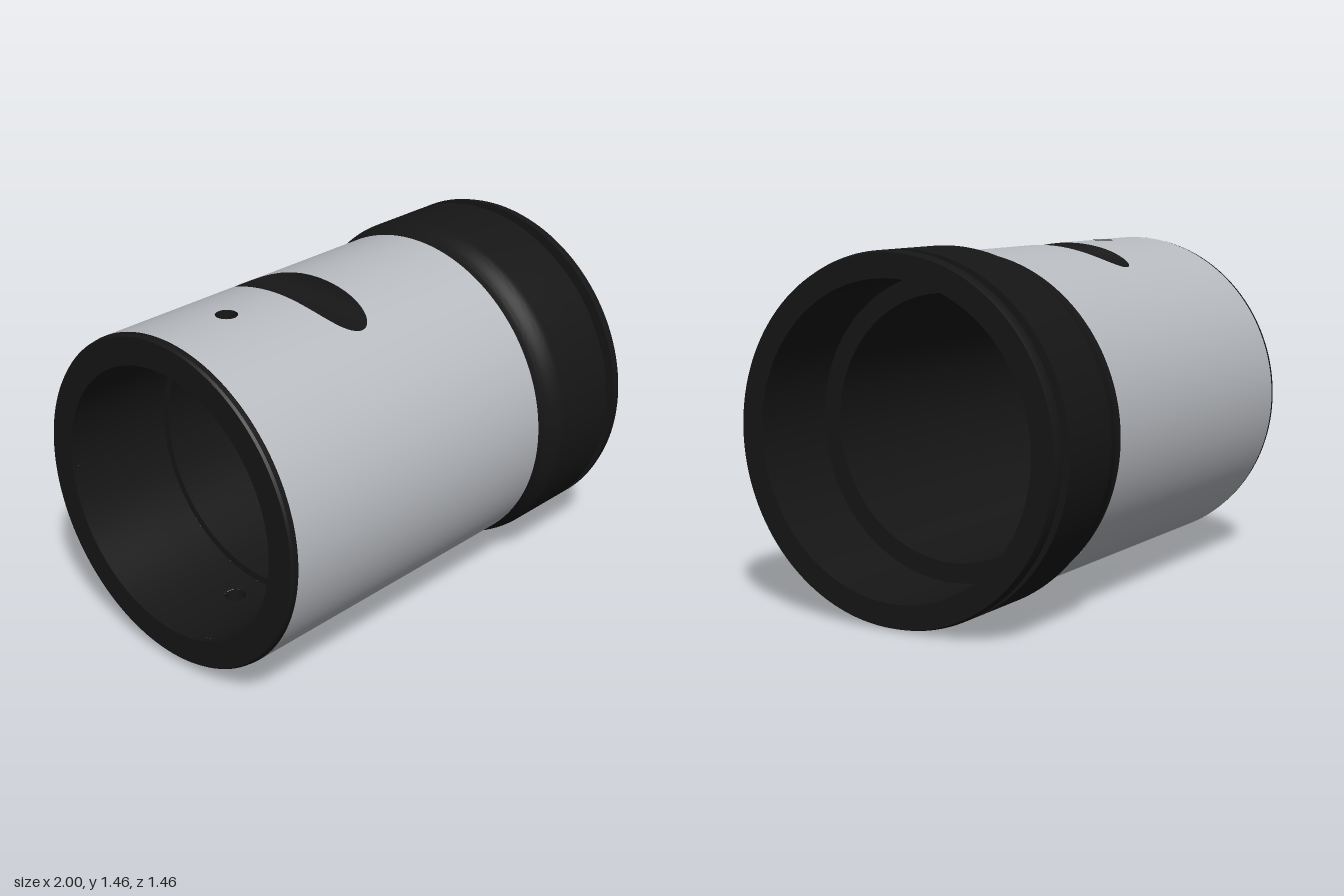
import * as THREE from 'three';
import { toCreasedNormals } from 'three/addons/utils/BufferGeometryUtils.js';

const R = 0.70;                              // sleeve radius
const BORE = 0.575;                          // bore radius at the left end
const HOLE = { x: -0.645, r: 0.045 };        // round cross-hole, top and bottom
const SLOT = { x: -0.245, y: 0.73, r: 0.12 };// cross-cut cylinder that makes the saddle notch
const SLOT_W = Math.sqrt(SLOT.r ** 2 - (SLOT.y - R) ** 2);

const dark = new THREE.MeshStandardMaterial({ color: 0x161616, side: THREE.DoubleSide });
const metal = new THREE.MeshStandardMaterial({ color: 0xb9bcc1, side: THREE.DoubleSide });

const slotFloor = (x) => SLOT.y - Math.sqrt(Math.max(0, SLOT.r ** 2 - (x - SLOT.x) ** 2));

// Half-angle left open at the top and at the bottom of a shell at station x
function holeGap(x, radius) {
  const d = HOLE.r ** 2 - (x - HOLE.x) ** 2;
  return d > 0 ? Math.asin(Math.sqrt(d) / radius) : 0;
}
function slotGap(x) {
  return Math.abs(x - SLOT.x) < SLOT_W ? Math.acos(Math.min(1, slotFloor(x) / R)) : 0;
}

// Stations packed towards both ends of an opening
function stations(centre, half, n) {
  return Array.from({ length: n + 1 }, (_, i) => centre - half * Math.cos((Math.PI * i) / n));
}

// Surface lofted through the stations; point(x, v) gives [x, y, z] for v in 0..1
function loft(xs, cols, point, flip = false) {
  const pos = [], idx = [];
  xs.forEach((x, i) => {
    for (let j = 0; j <= cols; j++) {
      pos.push(...point(x, j / cols));
      if (i === xs.length - 1 || j === cols) continue;
      const a = i * (cols + 1) + j, b = a + cols + 1, c = a + 1, d = b + 1;
      if (flip) idx.push(a, b, c, c, b, d);
      else idx.push(a, c, b, c, d, b);
    }
  });
  const g = new THREE.BufferGeometry();
  g.setAttribute('position', new THREE.Float32BufferAttribute(pos, 3));
  g.setIndex(idx);
  g.computeVertexNormals();
  return g;
}

// Pierced tube along x, made as a front and a back half
function shell(name, xs, radius, top, bottom, material, inward) {
  const group = new THREE.Group();
  group.name = name;
  for (const front of [true, false]) {
    const g = loft(xs, 96, (x, v) => {
      const t0 = front ? top(x) : Math.PI + bottom(x);
      const t1 = front ? Math.PI - bottom(x) : 2 * Math.PI - top(x);
      const t = t0 + (t1 - t0) * v;
      return [x, radius * Math.cos(t), radius * Math.sin(t)];
    }, inward);
    // exact radial normals keep the tube smooth
    const p = g.attributes.position, k = (inward ? -1 : 1) / radius;
    for (let i = 0; i < p.count; i++) g.attributes.normal.setXYZ(i, 0, p.getY(i) * k, p.getZ(i) * k);
    const mesh = new THREE.Mesh(g, material);
    mesh.name = name + (front ? 'Front' : 'Back');
    group.add(mesh);
  }
  return group;
}

// Turned part about the x axis from [radius, x] pairs
function turned(name, profile) {
  const pts = profile.map(([r, x]) => new THREE.Vector2(r, x));
  const mesh = new THREE.Mesh(toCreasedNormals(new THREE.LatheGeometry(pts, 160), 0.4), dark);
  mesh.rotation.z = -Math.PI / 2;
  mesh.name = name;
  return mesh;
}

export function createModel() {
  const model = new THREE.Group();
  model.name = 'sleeveBody';
  const body = new THREE.Group();
  body.name = 'barrel';
  body.position.y = 0.73;
  model.add(body);

  // Metal sleeve with slot and cross-holes
  const holeXs = stations(HOLE.x, HOLE.r, 16);
  const slotXs = stations(SLOT.x, SLOT_W, 32);
  body.add(shell('sleeve', [-0.97, ...holeXs, ...slotXs, 0.46], R,
    (x) => holeGap(x, R) + slotGap(x), (x) => holeGap(x, R), metal, false));

  // Floor of the saddle notch
  const floor = new THREE.Mesh(loft(slotXs, 2, (x, v) => {
    const y = slotFloor(x);
    return [x, y, (2 * v - 1) * Math.sqrt(Math.max(0, R * R - y * y))];
  }), dark);
  floor.name = 'notchFloor';
  body.add(floor);

  // Left bore, pierced by the cross-holes
  const gap = (x) => holeGap(x, BORE);
  body.add(shell('leftBore', [-0.97, ...holeXs, -0.5], BORE, gap, gap, dark, true));

  // Walls of the cross-holes
  for (const s of [1, -1]) {
    const wall = new THREE.Mesh(
      new THREE.CylinderGeometry(HOLE.r, HOLE.r, R - BORE, 32, 1, true), dark);
    wall.position.set(HOLE.x, (s * (R + BORE)) / 2, 0);
    wall.name = s > 0 ? 'topHoleWall' : 'bottomHoleWall';
    body.add(wall);
  }

  // Left end ring
  body.add(turned('endRing', [
    [BORE, -0.97], [BORE, -1], [0.69, -1], [0.697, -0.99], [0.697, -0.97], [R, -0.97],
  ]));

  // Collar with flared shoulder, ring groove, end flange and stepped bore
  const flare = Array.from({ length: 13 }, (_, i) => {
    const u = i / 12;
    return [0.697 + 0.033 * u * u * (3 - 2 * u), 0.48 + 0.12 * u];
  });
  body.add(turned('collar', [
    [R, 0.46], [0.697, 0.46], ...flare,
    [0.73, 0.9], [0.682, 0.9], [0.682, 0.955], [0.73, 0.955], [0.73, 0.975], [0.722, 1],
    [0.625, 1], [0.625, 0.6], [0.543, 0.6], [0.543, -0.5], [BORE, -0.5],
  ]));

  return model;
}
